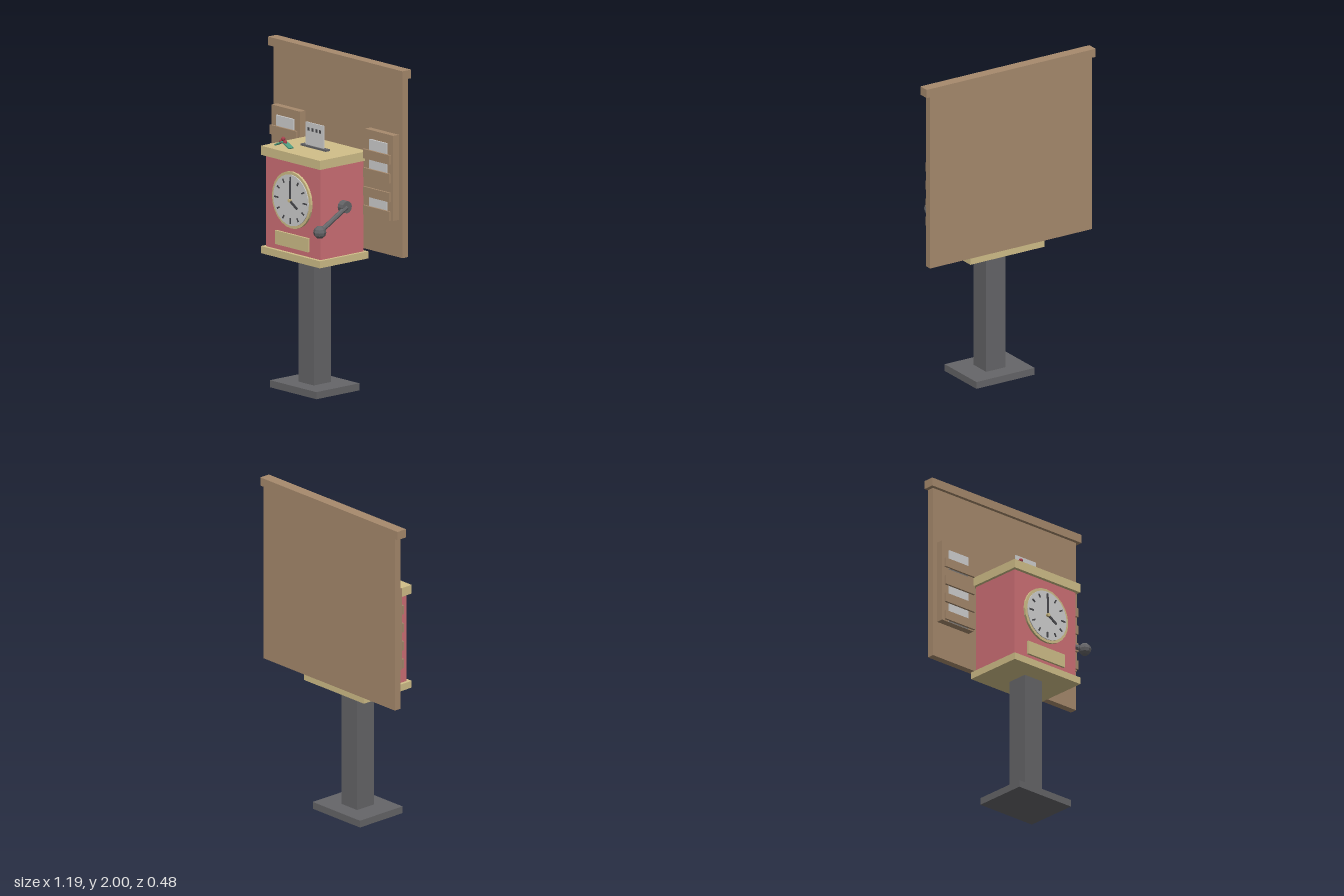
import * as THREE from 'three';

const mat = (name, color) => Object.assign(new THREE.MeshStandardMaterial({ color }), { name, flatShading: true });

export function createModel() {
  const wood = mat('wood', 0xa78a6d);
  const red = mat('red paint', 0xcf7076);
  const cream = mat('cream trim', 0xd1bf89);
  const iron = mat('dark iron', 0x656568);
  const paper = mat('paper', 0xd0d0d0);
  const ink = mat('dark ink', 0x4a4a4e);
  const green = mat('leaf green', 0x4f9d80);
  const berryRed = mat('berry red', 0xa8404c);

  const model = new THREE.Group();
  model.name = 'timeClock';

  function add(name, geometry, material, x = 0, y = 0, z = 0) {
    const m = new THREE.Mesh(geometry, material);
    m.name = name;
    m.position.set(x - 0.002, y, z);
    model.add(m);
    return m;
  }
  // Box given by its extents on each axis
  const box = (name, material, [x0, x1], [y0, y1], [z0, z1]) =>
    add(name, new THREE.BoxGeometry(x1 - x0, y1 - y0, z1 - z0), material,
      (x0 + x1) / 2, (y0 + y1) / 2, (z0 + z1) / 2);
  // Disc facing the front, from z0 to z1
  const disc = (name, material, r, y, z0, z1, sides = 24) =>
    add(name, new THREE.CylinderGeometry(r, r, z1 - z0, sides).rotateX(Math.PI / 2), material, 0, y, (z0 + z1) / 2);

  // Stand
  box('standBase', iron, [-0.205, 0.205], [0, 0.043], [-0.18, 0.16]);
  box('standPost', iron, [-0.068, 0.068], [0.043, 0.805], [-0.076, 0.058]);

  // Cabinet
  box('bottomPlate', cream, [-0.261, 0.261], [0.805, 0.848], [-0.2, 0.182]);
  box('cabinet', red, [-0.242, 0.242], [0.848, 1.4], [-0.18, 0.16]);
  box('topPlate', cream, [-0.261, 0.261], [1.4, 1.455], [-0.2, 0.182]);
  box('plaque', cream, [-0.145, 0.145], [0.88, 0.963], [0.16, 0.174]);

  // Backboard
  box('backboard', wood, [-0.57, 0.57], [0.862, 1.948], [-0.238, -0.194]);
  box('backboardCap', wood, [-0.595, 0.595], [1.948, 2], [-0.24, -0.172]);

  // Clock dial
  const cy = 1.17;
  disc('clockRim', cream, 0.172, cy, 0.16, 0.174);
  disc('clockFace', paper, 0.155, cy, 0.174, 0.179);
  for (let i = 0; i < 12; i++) {
    const a = (i * Math.PI) / 6, len = i % 3 ? 0.024 : 0.034;
    const tick = add('hourMark', new THREE.BoxGeometry(0.009, len, 0.004), ink,
      Math.sin(a) * 0.125, cy + Math.cos(a) * 0.125, 0.181);
    tick.rotation.z = -a;
  }
  const hand = (name, len, width, angle, z) => {
    const g = new THREE.BoxGeometry(width, len, 0.004).translate(0, len / 2, 0);
    add(name, g, ink, 0, cy, z).rotation.z = -angle;
  };
  hand('minuteHand', 0.118, 0.012, 0, 0.185);
  hand('hourHand', 0.078, 0.016, 2.12, 0.188);
  disc('clockHub', cream, 0.011, cy, 0.179, 0.195, 8);

  // Side lever: pivot, arm and ball
  const pivot = new THREE.Vector3(0.278, 1.148, -0.012);
  const knob = new THREE.Vector3(0.28, 1.03, 0.2);
  add('leverPivot', new THREE.CylinderGeometry(0.037, 0.037, 0.045, 12).rotateZ(Math.PI / 2), iron, 0.2625, pivot.y, pivot.z);
  const dir = knob.clone().sub(pivot);
  const mid = pivot.clone().add(knob).multiplyScalar(0.5);
  const arm = add('leverArm', new THREE.CylinderGeometry(0.015, 0.015, dir.length(), 8), iron, mid.x, mid.y, mid.z);
  arm.quaternion.setFromUnitVectors(new THREE.Vector3(0, 1, 0), dir.normalize());
  add('leverKnob', new THREE.SphereGeometry(0.039, 8, 6), iron, knob.x, knob.y, knob.z);

  // Card slot with a punched card
  box('cardSlot', iron, [-0.112, 0.112], [1.455, 1.466], [-0.03, 0.003]);
  box('timeCard', paper, [-0.08, 0.08], [1.46, 1.603], [-0.017, -0.009]);
  for (const x of [-0.051, -0.017, 0.017, 0.051])
    box('punchMark', ink, [x - 0.008, x + 0.008], [1.553, 1.573], [-0.009, -0.007]);

  // Card racks, each with four slats and three cards
  const slats = [1.43, 1.317, 1.203, 1.09];
  for (const [side, filled] of [[-1, [0, 2, 3]], [1, [0, 1, 3]]]) {
    const span = (half) => [side * 0.412 - half, side * 0.412 + half];
    box('cardRack', wood, span(0.125), [1.088, 1.603], [-0.194, -0.15]);
    for (const y of slats) box('rackSlat', wood, span(0.116), [y, y + 0.056], [-0.139, -0.126]);
    for (const i of filled)
      box('rackCard', paper, span(0.076), [slats[i], slats[i] + 0.12], [-0.15, -0.139]);
  }

  // Holly sprig
  for (const s of [-1, 1])
    add('hollyLeaf', new THREE.BoxGeometry(0.07, 0.008, 0.034), green, -0.146 + s * 0.034, 1.473, 0.103)
      .rotation.z = -s * 0.45;
  for (const [x, y] of [[-0.016, 1.487], [0.016, 1.487], [0, 1.505]])
    add('berry', new THREE.SphereGeometry(0.013, 8, 6), berryRed, -0.146 + x, y, 0.108);

  return model;
}
